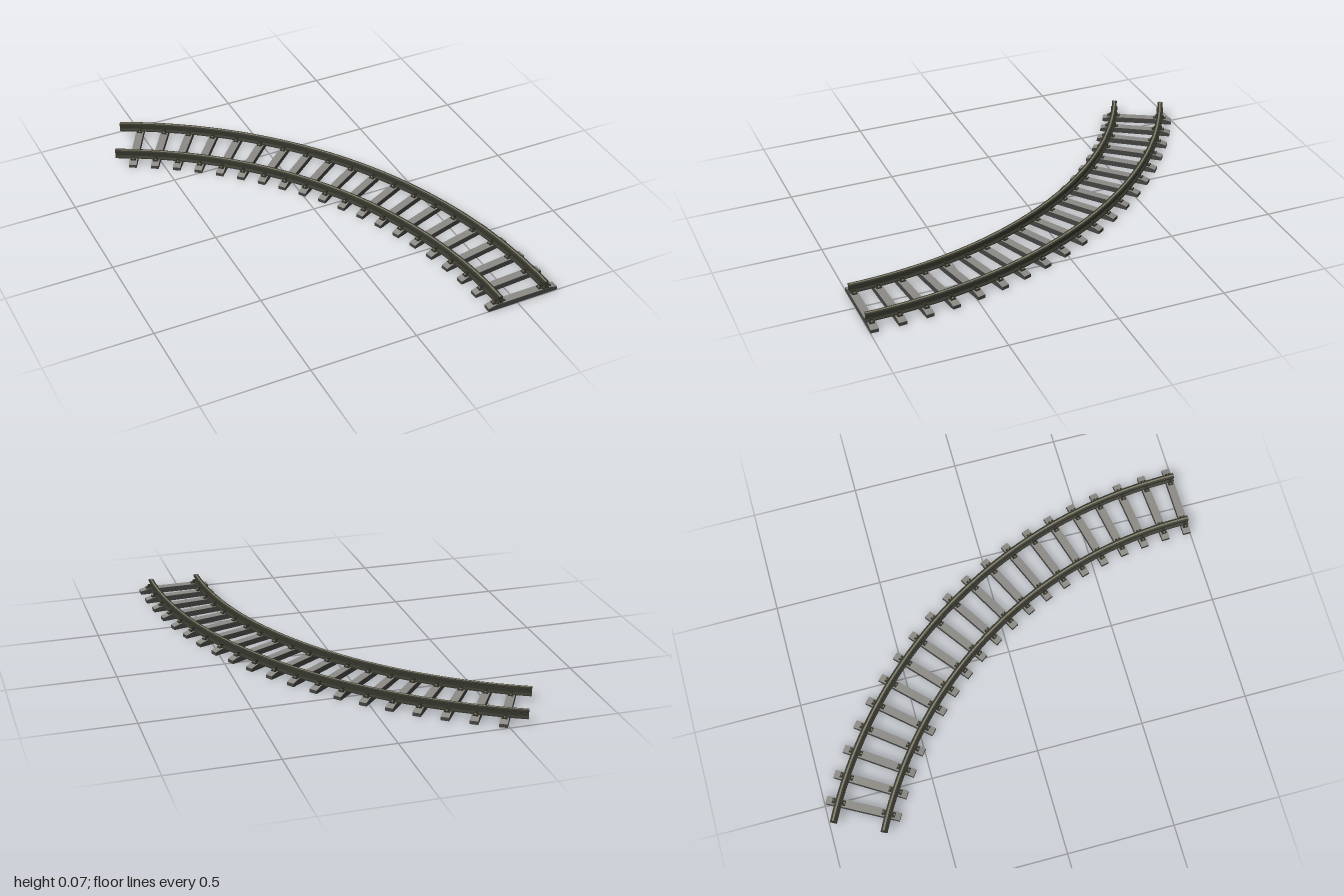
import * as THREE from 'three';
import { toCreasedNormals } from 'three/addons/utils/BufferGeometryUtils.js';

const mat = (name, color, side = THREE.FrontSide) => {
  const m = new THREE.MeshStandardMaterial({ color, side });
  m.name = name;
  return m;
};
const RAD = Math.PI / 180;
const SWEEP = 63.9 * RAD;              // angle covered by the curve
const INNER = 1.973, OUTER = 2.206;    // rail radii
const MIDDLE = 2.092;                  // sleeper centre radius

export function createModel() {
  const railDark = mat('rail dark', 0x34352b, THREE.DoubleSide);
  const railTop = mat('rail top', 0x7f7b69, THREE.DoubleSide);
  const woodSide = mat('sleeper side', 0x434341);
  const woodTop = mat('sleeper top', 0x8b8a85);
  const iron = mat('chair iron', 0x2f3028);
  const boltMetal = mat('bolt metal', 0x7d7862);

  const model = new THREE.Group();
  model.name = 'curvedTrack';
  const track = new THREE.Group();     // origin is the centre of the curve
  track.name = 'track';
  track.position.set(-1.563, 0, 1);
  model.add(track);

  const add = (parent, name, geometry, material, x = 0, y = 0, z = 0) => {
    const mesh = new THREE.Mesh(geometry, material);
    mesh.name = name;
    mesh.position.set(x, y, z);
    parent.add(mesh);
    return mesh;
  };
  const points = (list, dx = 0) => list.map(([x, y]) => new THREE.Vector2(x + dx, y));

  // Rails: an I-section swept around the curve, closed at both ends
  const section = [
    [-0.004, 0.066], [-0.012, 0.064], [-0.012, 0.056], [-0.005, 0.052], [-0.005, 0.036],
    [-0.016, 0.032], [-0.016, 0.027], [0.016, 0.027], [0.016, 0.032],
    [0.005, 0.036], [0.005, 0.052], [0.012, 0.056], [0.012, 0.064], [0.004, 0.066],
  ];
  const sweep = (list, radius) => toCreasedNormals(
    new THREE.LatheGeometry(points(list, radius), 48, Math.PI / 2, SWEEP), 0.4);

  for (const [name, radius] of [['innerRail', INNER], ['outerRail', OUTER]]) {
    const rail = new THREE.Group();
    rail.name = name;
    add(rail, 'railBody', sweep(section, radius), railDark);
    add(rail, 'runningSurface', sweep([[0.004, 0.066], [-0.004, 0.066]], radius), railTop);
    const cap = new THREE.ShapeGeometry(new THREE.Shape(points(section, radius)));
    add(rail, 'startCap', cap, railDark);
    add(rail, 'endCap', cap, railDark).rotation.y = SWEEP;
    track.add(rail);
  }

  // Sleepers: bars with sloping ends and a paler upper face
  const H = 0.174, W = 0.037;
  const bar = (list) => new THREE.ExtrudeGeometry(new THREE.Shape(points(list)),
    { depth: W, bevelEnabled: false }).translate(0, 0, -W / 2);
  const body = bar([[-H, 0], [H, 0], [H, 0.016], [0.138, 0.026], [-0.138, 0.026], [-H, 0.016]]);
  const top = bar([[-H, 0.016], [-0.138, 0.026], [0.138, 0.026], [H, 0.016],
    [H, 0.017], [0.138, 0.027], [-0.138, 0.027], [-H, 0.017]]);

  // Rail chairs: base plate, clamping jaws and bolts
  const plate = new THREE.BoxGeometry(0.062, 0.006, 0.024);
  const jaw = new THREE.BoxGeometry(0.012, 0.012, 0.014);
  const bolt = new THREE.CylinderGeometry(0.004, 0.004, 0.006, 6);

  for (let i = 0; i < 20; i++) {
    const sleeper = new THREE.Group();
    sleeper.name = 'sleeper' + (i + 1);
    const angle = (0.5 + i * 3.2) * RAD;
    sleeper.position.set(MIDDLE * Math.cos(angle), 0, -MIDDLE * Math.sin(angle));
    sleeper.rotation.y = angle;
    add(sleeper, 'sleeperBody', body, woodSide);
    add(sleeper, 'sleeperTop', top, woodTop);
    for (const radius of [INNER, OUTER]) {
      const x = radius - MIDDLE;
      add(sleeper, 'chairPlate', plate, iron, x, 0.029);
      for (const s of [-1, 1]) {
        add(sleeper, 'chairJaw', jaw, iron, x + s * 0.014, 0.037);
        add(sleeper, 'chairBolt', bolt, boltMetal, x + s * 0.026, 0.034);
      }
    }
    track.add(sleeper);
  }
  return model;
}
